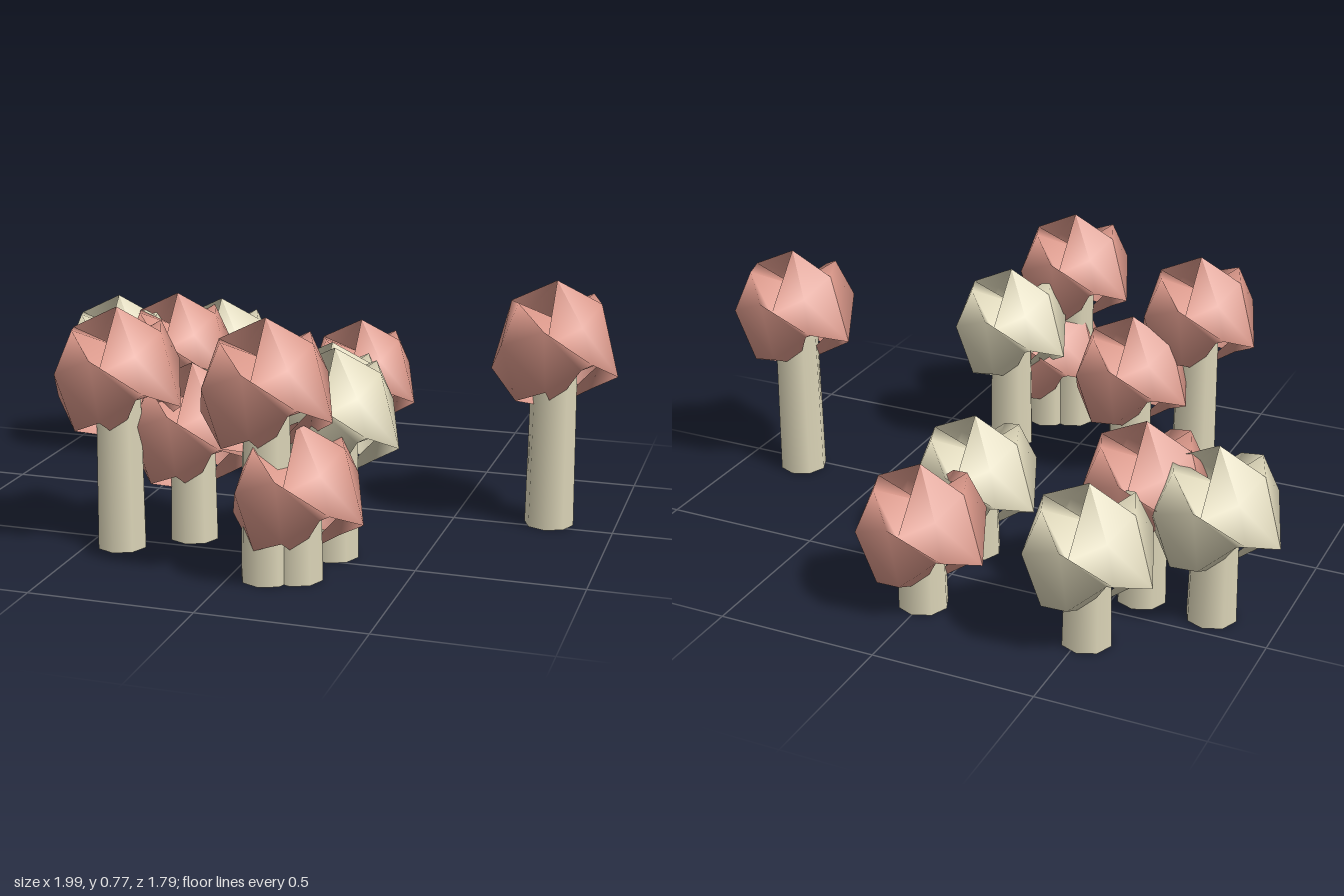
import * as THREE from 'three';

const R = 0.2;

// Crumpled cap: an 8 x 4 sphere whose rows are pushed up and down in waves.
// Columns run west, south-west, south, south-east, east, north-east, north, north-west.
// Each crown and base triangle has its own tip, which leaves radial slits.
const CAP_HEIGHTS = [
  [0.08, 0.08, 0.2, 0.2, 0.08, 0.08, 0.2, 0.2],
  [0.13, 0.145, 0.03, 0.08, 0.135, 0.145, 0.03, 0.08],
  [-0.088, 0.02, 0.085, -0.02, -0.088, 0.02, 0.085, -0.02],
  [-0.05, -0.16, -0.115, -0.05, -0.05, -0.16, -0.13, -0.05],
  [-0.1, -0.2, -0.1, -0.2, -0.1, -0.2, -0.1, -0.2],
];

function capGeometry() {
  const geo = new THREE.SphereGeometry(R, 8, 4);
  const pos = geo.attributes.position;
  for (let i = 0; i < pos.count; i++) {
    const row = Math.floor(i / 9);
    const col = (i % 9) % 8;
    pos.setXYZ(i, pos.getX(i) * 0.98, CAP_HEIGHTS[row][col], pos.getZ(i) * 1.04);
  }
  geo.computeVertexNormals();
  return geo;
}

export function createModel() {
  const model = new THREE.Group();
  model.name = 'mushroomCluster';

  const cream = new THREE.MeshStandardMaterial({ color: 0xdcd5b8, side: THREE.DoubleSide });
  cream.name = 'cream';
  const red = new THREE.MeshStandardMaterial({ color: 0xd89688, side: THREE.DoubleSide });
  red.name = 'dustyRed';

  const cap = capGeometry();

  // x, z, height of the tip, cap colour
  const mushrooms = [
    [0.795, -0.04, 0.775, red],
    [0.0, -0.685, 0.46, red],
    [-0.52, -0.675, 0.505, cream],
    [-0.8, -0.4, 0.555, cream],
    [-0.575, -0.385, 0.58, red],
    [0.0, -0.325, 0.46, cream],
    [-0.22, 0.41, 0.55, red],
    [-0.4, 0.55, 0.738, red],
    [0.235, 0.44, 0.635, cream],
    [0.108, 0.69, 0.77, red],
    [0.19, 0.655, 0.466, red],
  ];

  for (const [x, z, tip, capMaterial] of mushrooms) {
    const mushroom = new THREE.Group();
    mushroom.name = 'mushroom';
    mushroom.position.set(x, 0, z);

    // Hollow stem, open at the foot
    const capCentre = tip - R;
    const stem = new THREE.Mesh(new THREE.CylinderGeometry(0.07, 0.077, capCentre, 8, 1, true), cream);
    stem.name = 'stem';
    stem.position.y = capCentre / 2;

    const top = new THREE.Mesh(cap, capMaterial);
    top.name = 'cap';
    top.position.y = capCentre;

    mushroom.add(stem, top);
    model.add(mushroom);
  }
  return model;
}
